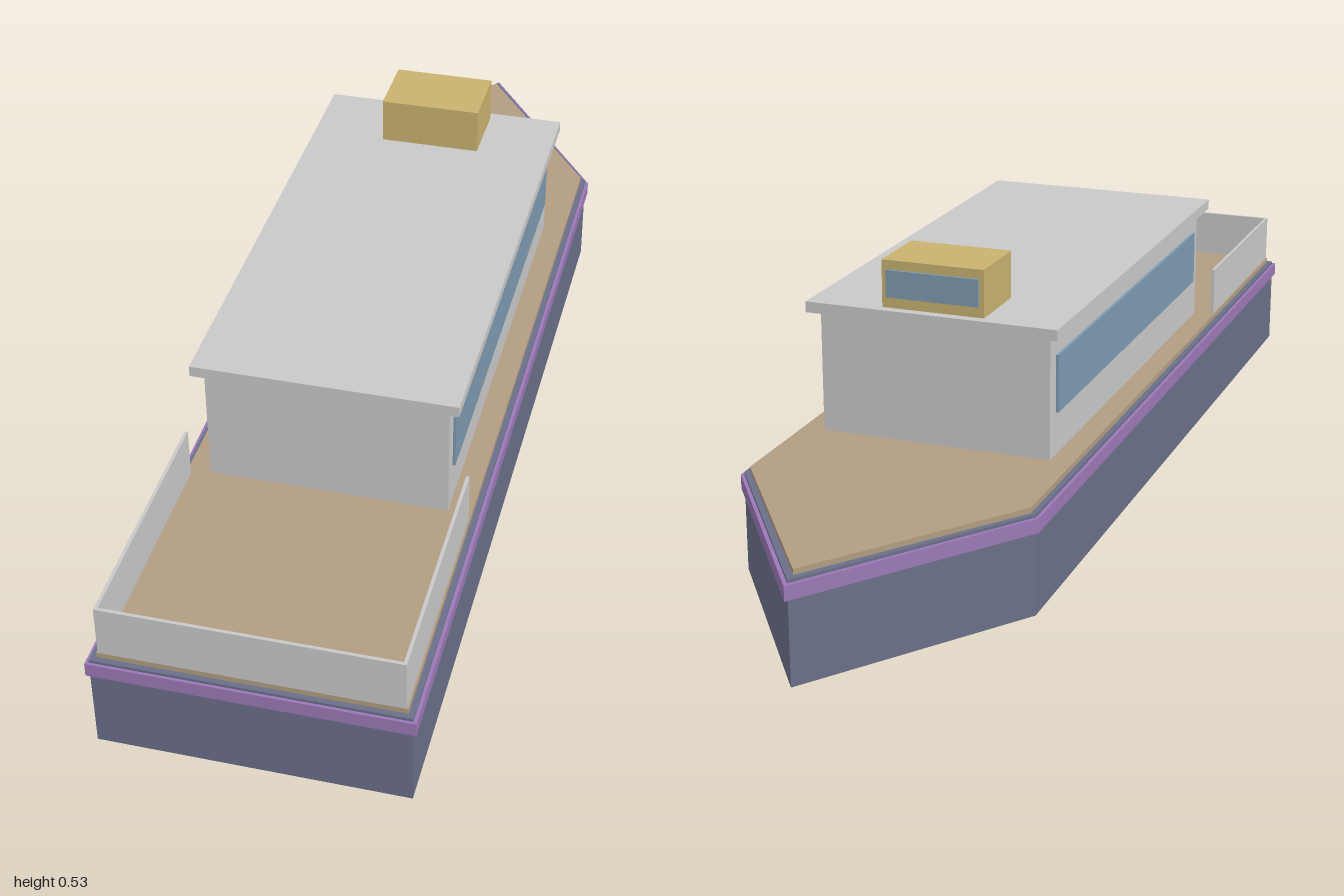
import * as THREE from 'three';

const paint = (name, color) => {
  const m = new THREE.MeshStandardMaterial({ color });
  m.name = name;
  return m;
};

export function createModel() {
  const boat = new THREE.Group();
  boat.name = 'riverBoat';

  const slate = paint('slate hull', 0x6a6f88);
  const purple = paint('purple trim', 0x9b78b6);
  const wood = paint('wooden deck', 0xb19d81);
  const grey = paint('light grey', 0xc8c8c8);
  const gold = paint('mustard', 0xc8b16f);
  const glass = paint('blue glass', 0x7d99b0);

  const add = (name, geometry, material) => {
    const mesh = new THREE.Mesh(geometry, material);
    mesh.name = name;
    boat.add(mesh);
    return mesh;
  };

  // Box given by its limits on each axis
  const box = (name, material, [x0, x1], [y0, y1], [z0, z1]) => {
    const g = new THREE.BoxGeometry(x1 - x0, y1 - y0, z1 - z0);
    add(name, g, material).position.set((x0 + x1) / 2, (y0 + y1) / 2, (z0 + z1) / 2);
  };

  // Slab with a square stern (+z) and a pointed bow (-z)
  const slab = (name, material, half, stern, shoulder, tip, y0, y1) => {
    const shape = new THREE.Shape([
      new THREE.Vector2(-half, -stern),
      new THREE.Vector2(half, -stern),
      new THREE.Vector2(half, -shoulder),
      new THREE.Vector2(0, -tip),
      new THREE.Vector2(-half, -shoulder),
    ]);
    const g = new THREE.ExtrudeGeometry(shape, { depth: y1 - y0, bevelEnabled: false });
    g.rotateX(-Math.PI / 2);
    g.translate(0, y0, 0);
    add(name, g, material);
  };

  // Hull, rubbing strake and deck
  slab('hull', slate, 0.269, 0.995, -0.613, -0.988, 0, 0.183);
  slab('rubbingStrake', purple, 0.275, 1, -0.615, -1, 0.152, 0.178);
  slab('deck', wood, 0.259, 0.985, -0.61, -0.967, 0.183, 0.193);

  // Cabin with overhanging roof
  box('cabin', grey, [-0.217, 0.217], [0.193, 0.42], [-0.4, 0.515]);
  box('roof', grey, [-0.237, 0.237], [0.42, 0.44], [-0.42, 0.533]);

  // Wheelhouse with its forward window
  box('wheelhouse', gold, [-0.096, 0.096], [0.44, 0.527], [-0.402, -0.27]);
  box('wheelhouseWindow', glass, [-0.087, 0.087], [0.46, 0.51], [-0.407, -0.402]);

  // Long side windows and the bulwark around the stern deck
  for (const [side, s] of [['left', 1], ['right', -1]]) {
    const span = (a, b) => [Math.min(s * a, s * b), Math.max(s * a, s * b)];
    box(side + 'CabinWindow', glass, span(0.217, 0.222), [0.272, 0.378], [-0.37, 0.485]);
    box(side + 'Bulwark', grey, span(0.25, 0.256), [0.193, 0.289], [0.527, 0.985]);
  }
  box('sternBulwark', grey, [-0.25, 0.25], [0.193, 0.289], [0.979, 0.985]);

  return boat;
}
